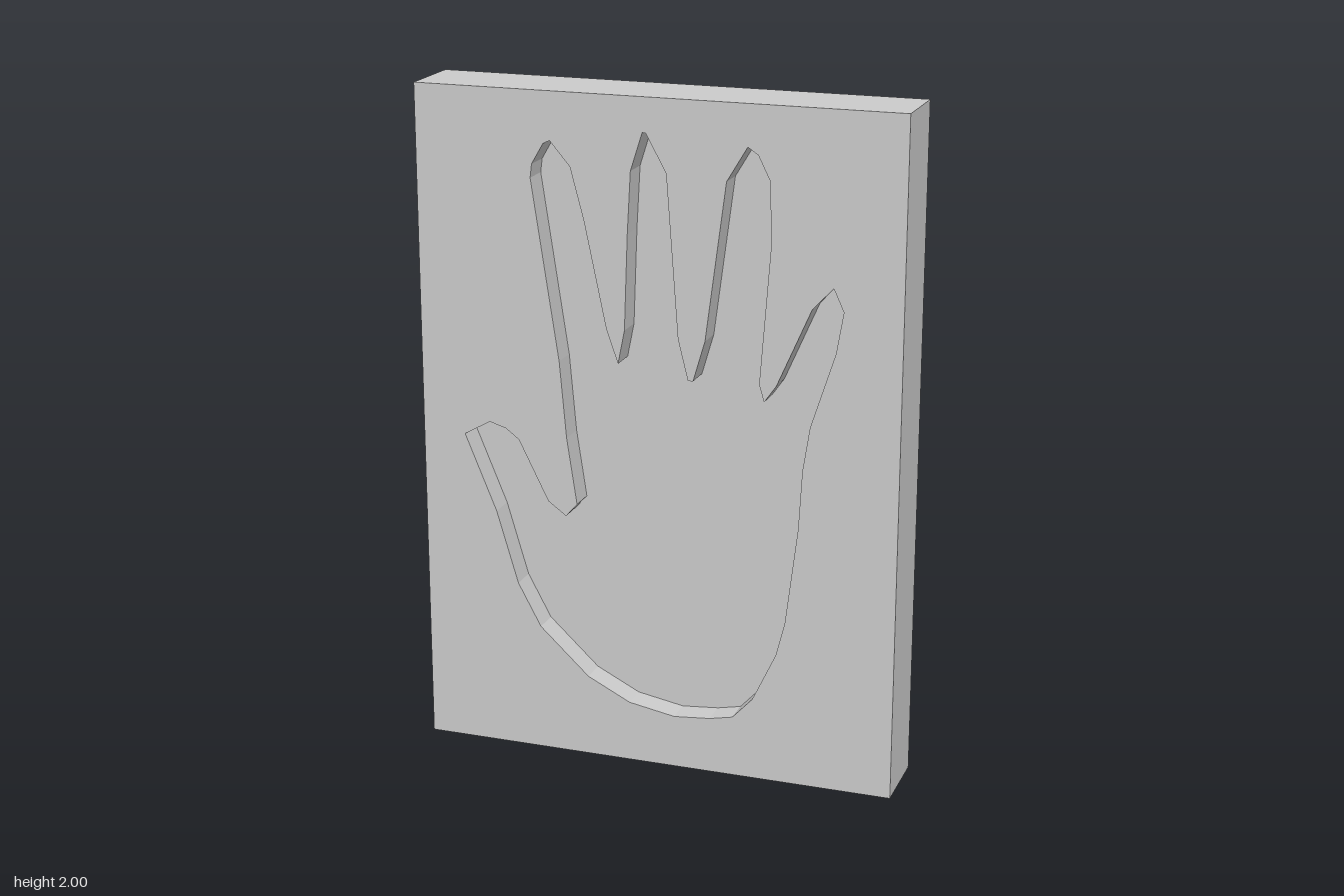
import * as THREE from 'three';

const W = 1.44, H = 2, D = 0.22, RECESS = 0.08;
const FRONT = D / 2, FLOOR = FRONT - RECESS;

// Hand outline, clockwise seen from the front, starting at the thumb tip
const OUTLINE = [
  // thumb
  [-.59, .97], [-.51, 1.015], [-.46, 1.0], [-.42, .97], [-.33, .79], [-.275, .75], [-.24, .79],
  // index finger
  [-.27, .99], [-.29, 1.22], [-.37, 1.75], [-.365, 1.79], [-.33, 1.85], [-.31, 1.86],
  [-.25, 1.79], [-.21, 1.64], [-.145, 1.33], [-.11, 1.23],
  // middle finger
  [-.09, 1.33], [-.08, 1.61], [-.07, 1.79], [-.035, 1.9], [-.025, 1.9], [.035, 1.79], [.07, 1.32], [.1, 1.2],
  // ring finger
  [.115, 1.2], [.15, 1.32], [.21, 1.78], [.27, 1.88], [.3, 1.86], [.335, 1.79], [.34, 1.61], [.31, 1.21],
  // little finger
  [.325, 1.16], [.36, 1.21], [.46, 1.44], [.52, 1.505], [.55, 1.44], [.53, 1.32], [.46, 1.1],
  // palm and heel
  [.44, .97], [.43, .79], [.395, .5], [.37, .4], [.3, .25], [.24, .185], [.17, .17], [.06, .16],
  [-.08, .185], [-.21, .25], [-.36, .39], [-.43, .52], [-.495, .74],
].map(([x, y]) => new THREE.Vector2(x, y));

// Inward-facing wall that joins the recess floor to the front face
function wallGeometry(points, z0, z1) {
  const pos = [];
  points.forEach((a, i) => {
    const b = points[(i + 1) % points.length];
    pos.push(a.x, a.y, z0, b.x, b.y, z0, b.x, b.y, z1);
    pos.push(a.x, a.y, z0, b.x, b.y, z1, a.x, a.y, z1);
  });
  const geo = new THREE.BufferGeometry();
  geo.setAttribute('position', new THREE.Float32BufferAttribute(pos, 3));
  geo.computeVertexNormals();
  return geo;
}

export function createModel() {
  const group = new THREE.Group();
  group.name = 'handprintPlaque';
  const material = new THREE.MeshStandardMaterial({ color: 0xcccccc, flatShading: true });
  const add = (name, geometry) => {
    const mesh = new THREE.Mesh(geometry, material);
    mesh.name = name;
    group.add(mesh);
    return mesh;
  };

  // Slab: a box without its front (+z) face
  const box = new THREE.BoxGeometry(W, H, D).translate(0, H / 2, 0);
  const index = Array.from(box.index.array);
  index.splice(24, 6);
  box.setIndex(index);
  box.clearGroups();
  add('slab', box);

  // Front face with the hand cut out
  const face = new THREE.Shape([
    new THREE.Vector2(-W / 2, 0), new THREE.Vector2(W / 2, 0),
    new THREE.Vector2(W / 2, H), new THREE.Vector2(-W / 2, H),
  ]);
  face.holes.push(new THREE.Path(OUTLINE));
  add('frontFace', new THREE.ShapeGeometry(face)).position.z = FRONT;

  // Sunken hand: floor and side wall
  add('handFloor', new THREE.ShapeGeometry(new THREE.Shape(OUTLINE))).position.z = FLOOR;
  add('handWall', wallGeometry(OUTLINE, FLOOR, FRONT));

  return group;
}
